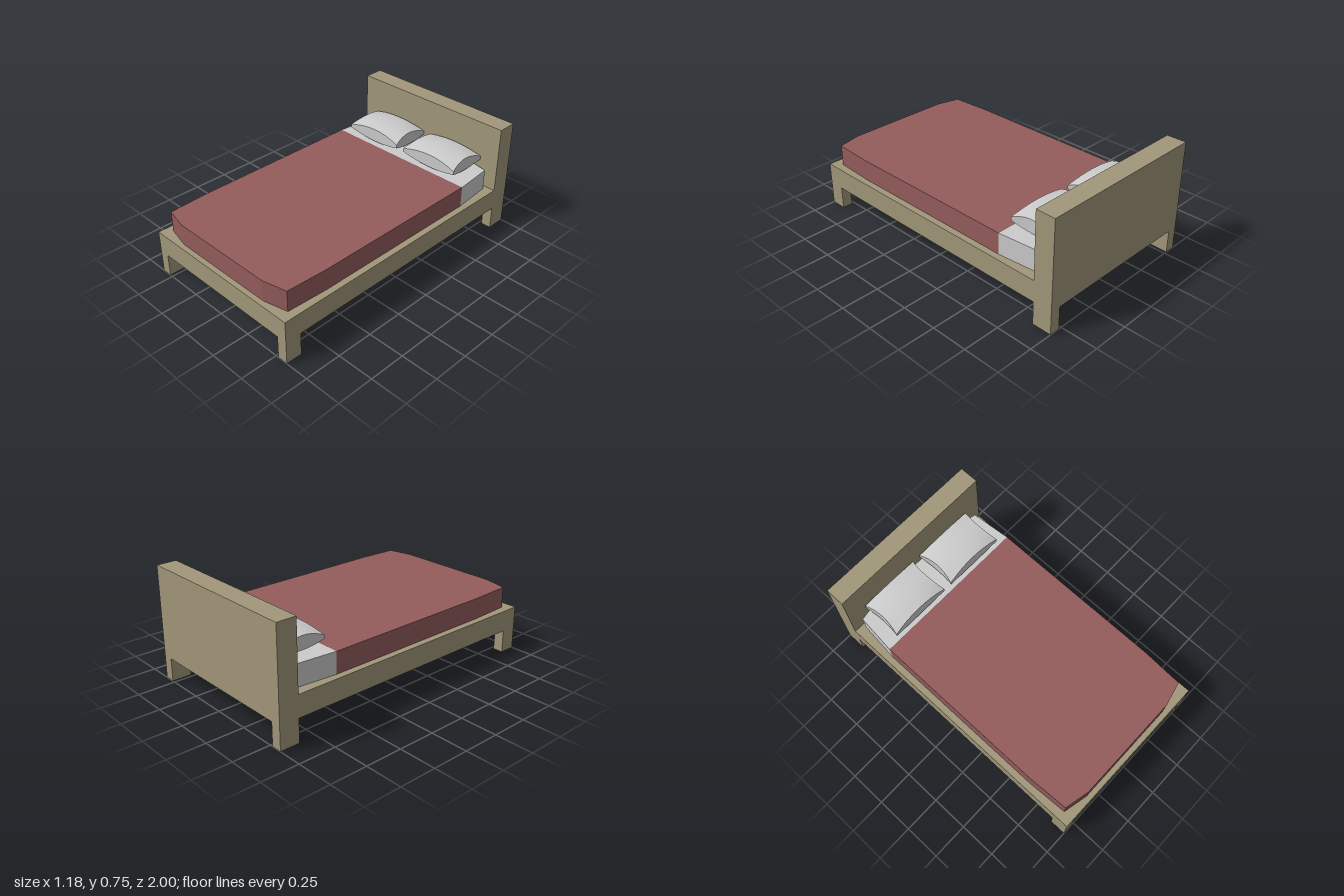
import * as THREE from 'three';

const wood = new THREE.MeshStandardMaterial({ color: 0xa2977a });
const red = new THREE.MeshStandardMaterial({ color: 0x945c5c });
const grey = new THREE.MeshStandardMaterial({ color: 0xcccccc });

// Box given by its lower and upper corners
function box(name, [x0, y0, z0], [x1, y1, z1]) {
  const mesh = new THREE.Mesh(new THREE.BoxGeometry(x1 - x0, y1 - y0, z1 - z0), wood);
  mesh.position.set((x0 + x1) / 2, (y0 + y1) / 2, (z0 + z1) / 2);
  mesh.name = name;
  return mesh;
}

// Upright slab from one half of a plan outline [x, z], mirrored in x
function slab(name, half, y0, y1, material) {
  const outline = [...half, ...half.map(([x, z]) => [-x, z]).reverse()];
  const shape = new THREE.Shape(outline.map(([x, z]) => new THREE.Vector2(x, -z)));
  const geometry = new THREE.ExtrudeGeometry(shape, { depth: y1 - y0, bevelEnabled: false });
  geometry.rotateX(-Math.PI / 2).translate(0, y0, 0);
  const mesh = new THREE.Mesh(geometry, material);
  mesh.name = name;
  return mesh;
}

// Cushion: thick in the middle, pinched at the corners, edges drawn inwards
function pillow(name, x) {
  const geometry = new THREE.BoxGeometry(2, 2, 2, 8, 1, 8);
  const p = geometry.attributes.position;
  for (let i = 0; i < p.count; i++) {
    const u = p.getX(i), side = p.getY(i), v = p.getZ(i);
    const uu = u * u, vv = v * v;
    p.setXYZ(i,
      u * (0.215 - 0.02 * (1 - vv)),
      side * (0.06 - 0.015 * (uu + vv) - 0.018 * uu * vv),
      v * (0.144 - 0.012 * (1 - uu)));
  }
  geometry.computeVertexNormals();
  const mesh = new THREE.Mesh(geometry, grey);
  mesh.position.set(x, 0.505, -0.716);
  mesh.name = name;
  return mesh;
}

export function createModel() {
  const bed = new THREE.Group();
  bed.name = 'bed';

  // Wooden frame
  const W = 0.59, back = -0.868, low = 0.155;
  const frame = new THREE.Group();
  frame.name = 'frame';
  frame.add(box('bedBase', [-W, low, back], [W, 0.3, 1]));
  frame.add(box('headboard', [-W, low, -1], [W, 0.755, back]));
  for (const [side, x0, x1] of [['left', W - 0.07, W], ['right', -W, 0.07 - W]]) {
    frame.add(box(side + 'FrontLeg', [x0, 0, 0.89], [x1, low, 1]));
    frame.add(box(side + 'BackLeg', [x0, 0, -1], [x1, low, back]));
  }
  bed.add(frame);

  // Mattress: bare sheet at the head, blanket over the rest
  bed.add(slab('sheet', [[0.547, -0.56], [0.522, -0.835], [0.37, -0.865]], 0.3, 0.443, grey));
  bed.add(slab('blanket', [[0.37, 0.965], [0.533, 0.928], [0.547, 0.65], [0.547, -0.56]], 0.3, 0.443, red));

  // Pillows
  bed.add(pillow('leftPillow', 0.245), pillow('rightPillow', -0.245));
  return bed;
}
